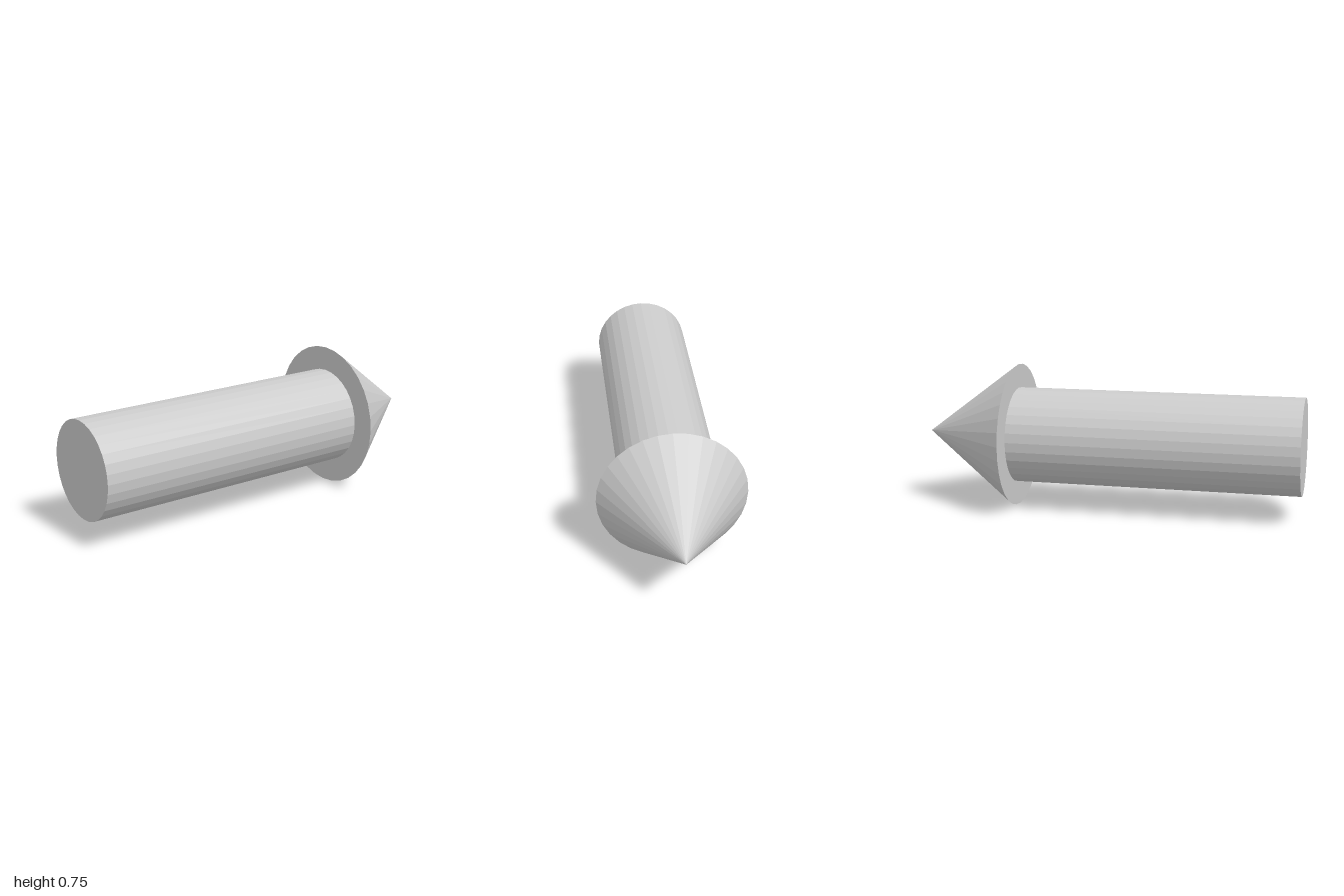
import * as THREE from 'three';

const SIDES = 32;
const AXIS_HEIGHT = 0.375;

export function createModel() {
  const group = new THREE.Group();
  group.name = 'arrow';
  const material = new THREE.MeshStandardMaterial({ color: 0xcccccc, flatShading: true });

  // Lays an upright round part along the arrow's axis, its top towards -z
  function addPart(name, geometry, z) {
    geometry.rotateX(-Math.PI / 2);
    const mesh = new THREE.Mesh(geometry, material);
    mesh.name = name;
    mesh.position.set(0, AXIS_HEIGHT, z);
    group.add(mesh);
  }

  // Shaft from z = 1 to z = -0.5
  addPart('shaft', new THREE.CylinderGeometry(0.25, 0.25, 1.5, SIDES), 0.25);

  // Pointed head from z = -0.5 to the tip at z = -1
  addPart('head', new THREE.ConeGeometry(0.375, 0.5, SIDES), -0.75);

  return group;
}
